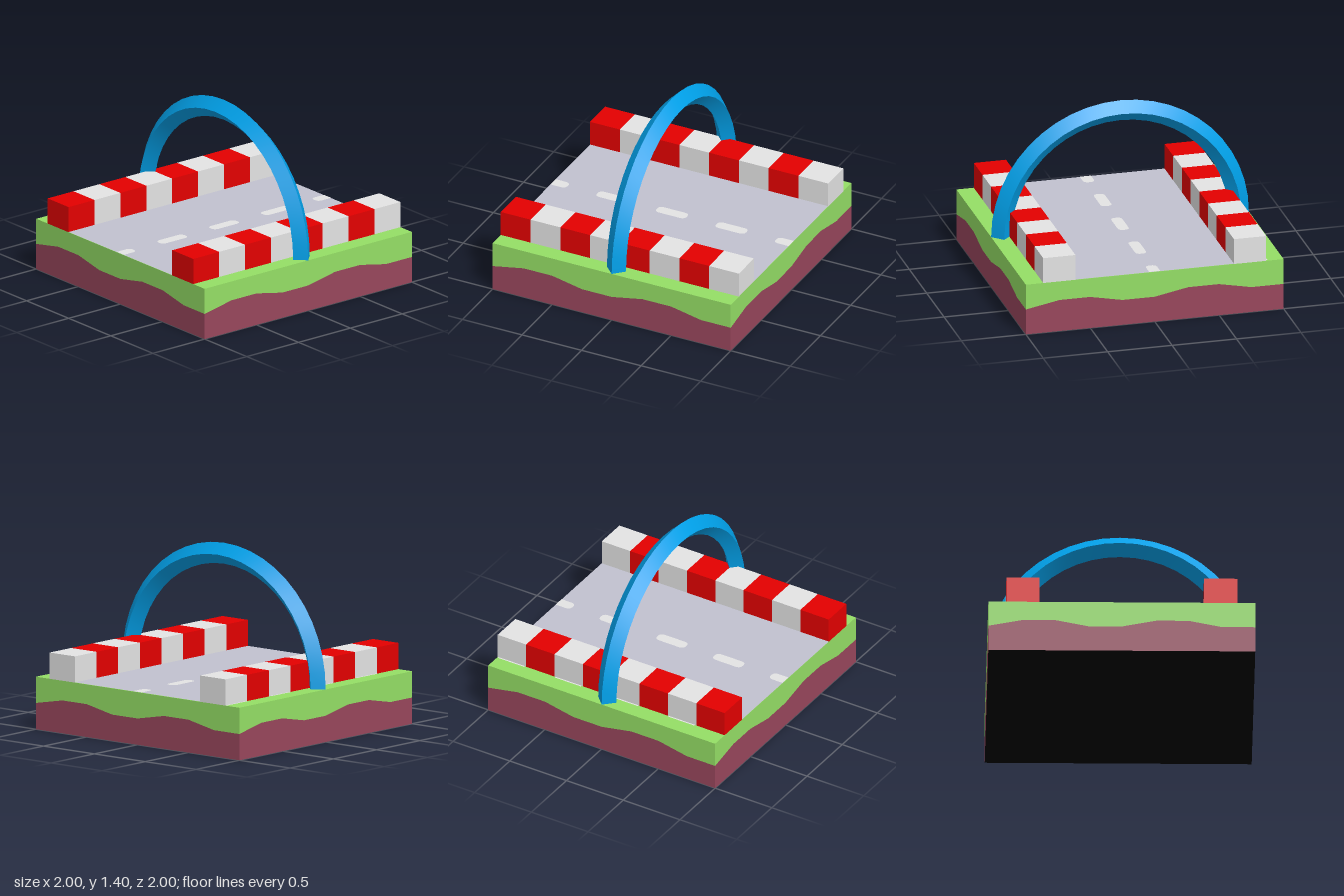
import * as THREE from 'three';
import { toCreasedNormals } from 'three/addons/utils/BufferGeometryUtils.js';

const material = (name, color) => new THREE.MeshStandardMaterial({ name, color });

export function createModel() {
  const group = new THREE.Group();
  group.name = 'roadTile';
  const grass = material('grass green', 0x94de65);
  const soil = material('soil brown', 0x98465c);
  const asphalt = material('asphalt grey', 0xc1c1cf);
  const pale = material('pale grey', 0xe3e3e3);
  const red = material('barrier red', 0xe30000);
  const blue = material('arch blue', 0x00abf8);
  const black = material('underside black', 0x000000);

  const add = (name, geometry, mat, x = 0, y = 0, z = 0) => {
    const mesh = new THREE.Mesh(geometry, mat);
    mesh.name = name;
    mesh.position.set(x, y, z);
    group.add(mesh);
    return mesh;
  };

  // Ground sides: the wavy line between soil and grass repeats on all four faces
  const wave = [[-1, 0.2], [-0.74, 0.25], [-0.5, 0.25], [-0.25, 0.2], [0, 0.2],
    [0.26, 0.25], [0.5, 0.25], [0.75, 0.2], [1, 0.2]].map(([x, y]) => new THREE.Vector2(x, y));
  const band = (edgeY) => new THREE.ShapeGeometry(new THREE.Shape(
    [...wave, new THREE.Vector2(1, edgeY), new THREE.Vector2(-1, edgeY)])).translate(0, 0, 1);
  const grassBand = band(0.4);
  const soilBand = band(0);
  for (let i = 0; i < 4; i++) {
    add('grassSide', grassBand, grass).rotation.y = i * Math.PI / 2;
    add('soilSide', soilBand, soil).rotation.y = i * Math.PI / 2;
  }
  add('grassTop', new THREE.PlaneGeometry(2, 2).rotateX(-Math.PI / 2), grass, 0, 0.4, 0);
  add('underside', new THREE.PlaneGeometry(2, 2).rotateX(Math.PI / 2), black);

  // Road surface
  add('road', new THREE.PlaneGeometry(1.24, 2).rotateX(-Math.PI / 2), asphalt, 0, 0.402, 0);

  // Centre dashes with rounded ends; the two at the tile edges are half length
  const dash = (z0, z1, roundNear, roundFar) => {
    const w = 0.043, r = 0.04, s = new THREE.Shape();
    const a = roundNear ? r : 0, b = roundFar ? r : 0;
    s.moveTo(-w + a, -z1);
    s.lineTo(w - a, -z1);
    s.quadraticCurveTo(w, -z1, w, -z1 + a);
    s.lineTo(w, -z0 - b);
    s.quadraticCurveTo(w, -z0, w - b, -z0);
    s.lineTo(-w + b, -z0);
    s.quadraticCurveTo(-w, -z0, -w, -z0 - b);
    s.lineTo(-w, -z1 + a);
    s.quadraticCurveTo(-w, -z1, -w + a, -z1);
    add('centreDash', new THREE.ShapeGeometry(s, 5).rotateX(-Math.PI / 2), pale, 0, 0.404, 0);
  };
  for (const c of [-1, -0.5, 0, 0.5, 1]) {
    dash(Math.max(-1, c - 0.127), Math.min(1, c + 0.127), c < 1, c > -1);
  }

  // Striped barriers: alternating blocks from front to back
  const block = new THREE.BoxGeometry(0.25, 0.2, 0.25);
  const edgeLine = new THREE.PlaneGeometry(0.012, 0.23).rotateX(-Math.PI / 2);
  for (let i = 0; i < 8; i++) {
    const z = 0.875 - i * 0.25;
    for (const side of [-1, 1]) add('barrierBlock', block, i % 2 ? pale : red, side * 0.74, 0.5, z);
    // Narrow painted line along the outer foot of the pale blocks on one side
    if (i % 2) add('edgeLine', edgeLine, pale, -0.871, 0.402, z);
  }

  // Arch: half ring with a diamond cross-section
  add('arch', toCreasedNormals(new THREE.TorusGeometry(0.92, 0.08, 4, 24, Math.PI), 0.6), blue, 0, 0.4, 0);

  return group;
}
